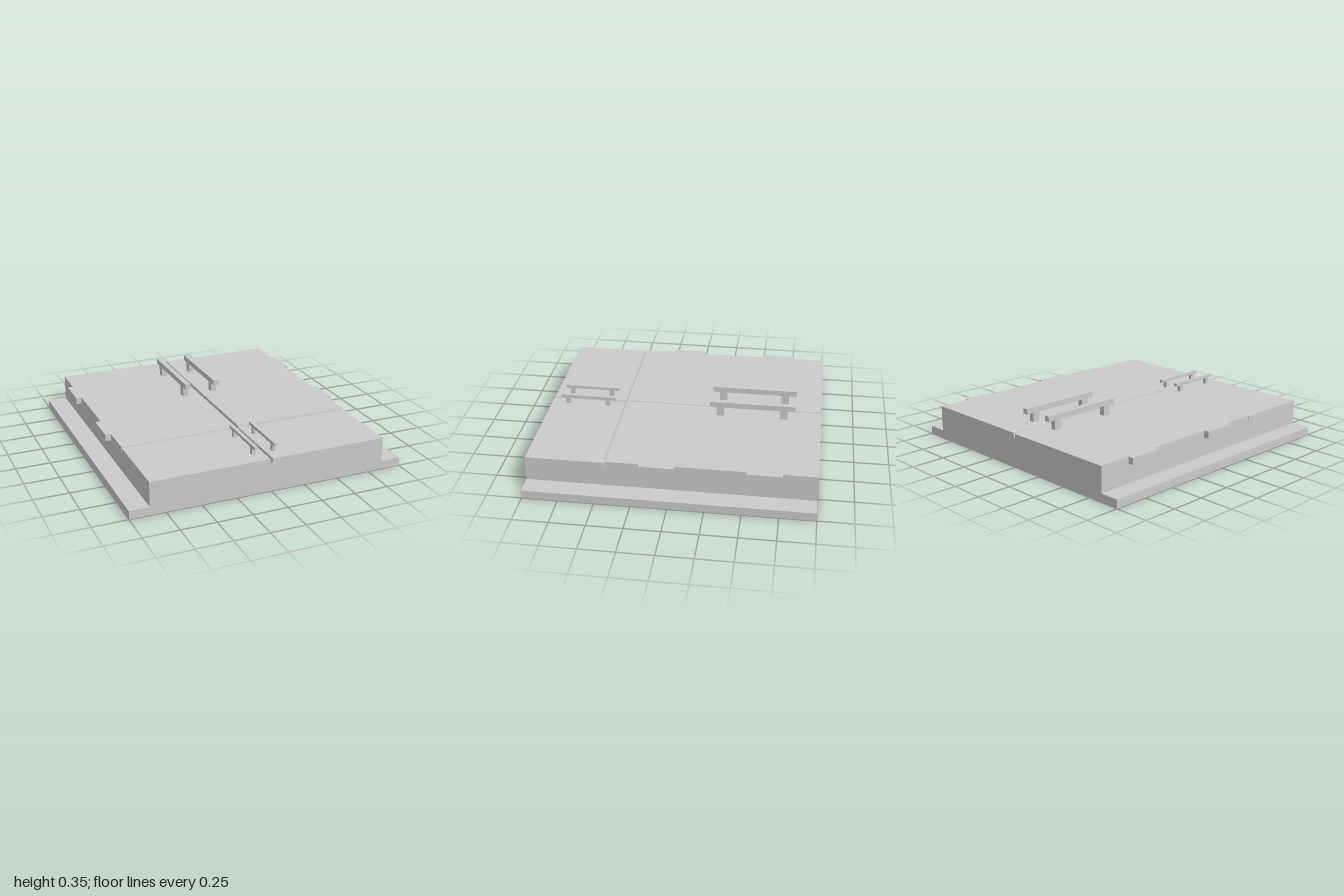
import * as THREE from 'three';

const material = new THREE.MeshStandardMaterial({ color: 0xcccccc, flatShading: true });

// Box given by its extents on each axis
function block(name, [x0, x1], [y0, y1], [z0, z1]) {
  const geo = new THREE.BoxGeometry(x1 - x0, y1 - y0, z1 - z0);
  geo.translate((x0 + x1) / 2, (y0 + y1) / 2, (z0 + z1) / 2);
  const mesh = new THREE.Mesh(geo, material);
  mesh.name = name;
  return mesh;
}

// Door panel whose top edges slope away from the seams at x = 0 and z = seamZ
function panel(name, x, y, z, seamZ) {
  const mesh = block(name, x, y, z);
  const p = mesh.geometry.attributes.position;
  for (let i = 0; i < p.count; i++) {
    if (p.getY(i) < (y[0] + y[1]) / 2) continue;
    if (Math.abs(p.getX(i)) < 0.001) p.setX(i, x[0] < -0.1 ? -0.01 : 0.01);
    if (Math.abs(p.getZ(i) - seamZ) < 0.001) p.setZ(i, seamZ + (z[0] < 0 ? -0.008 : 0.008));
  }
  mesh.geometry.computeVertexNormals();
  return mesh;
}

// Bar handle carried by two posts
function handle(name, x, z, yBase, yBar, yTop, posts) {
  const group = new THREE.Group();
  group.name = name;
  group.add(block('handleBar', x, [yBar, yTop], z));
  for (const post of posts) group.add(block('handlePost', x, [yBase, yBar], post));
  return group;
}

export function createModel() {
  const model = new THREE.Group();
  const left = 0.855, right = -0.86, seamZ = 0.45, grooveY = 0.2;

  // Base flange and cabinet body
  model.add(block('basePlate', [-1, 1], [0, 0.06], [-1, 1]));
  model.add(block('body', [right, left], [0.06, grooveY], [-1, 1]));

  // Four door panels separated by V-grooves
  model.add(panel('upperRightDoor', [right, 0], [grooveY, 0.244], [-1, seamZ], seamZ));
  model.add(panel('upperLeftDoor', [0, left], [grooveY, 0.248], [-1, seamZ], seamZ));
  model.add(panel('lowerRightDoor', [right, 0], [grooveY, 0.238], [seamZ, 1], seamZ));
  model.add(panel('lowerLeftDoor', [0, left], [grooveY, 0.238], [seamZ, 1], seamZ));

  // Hinge blocks along both sides
  for (const z of [[-0.76, -0.52], [-0.03, 0.21]]) {
    model.add(block('rightHinge', [-0.9, right], [0.195, 0.244], z));
    model.add(block('leftHinge', [left, 0.885], [0.195, 0.248], z));
  }

  // Long handles on the upper doors
  const longPosts = [[-0.295, -0.24], [-0.755, -0.7]];
  for (const [name, x] of [['upperRightHandle', [-0.14, -0.1]], ['upperLeftHandle', [0.09, 0.13]]]) {
    model.add(handle(name, x, [-0.81, -0.19], 0.24, 0.315, 0.355, longPosts));
  }

  // Short handles on the lower doors
  const shortPosts = [[0.563, 0.595], [0.862, 0.894]];
  for (const [name, x] of [['lowerRightHandle', [-0.095, -0.07]], ['lowerLeftHandle', [0.055, 0.08]]]) {
    model.add(handle(name, x, [0.522, 0.927], 0.235, 0.285, 0.307, shortPosts));
  }
  return model;
}
